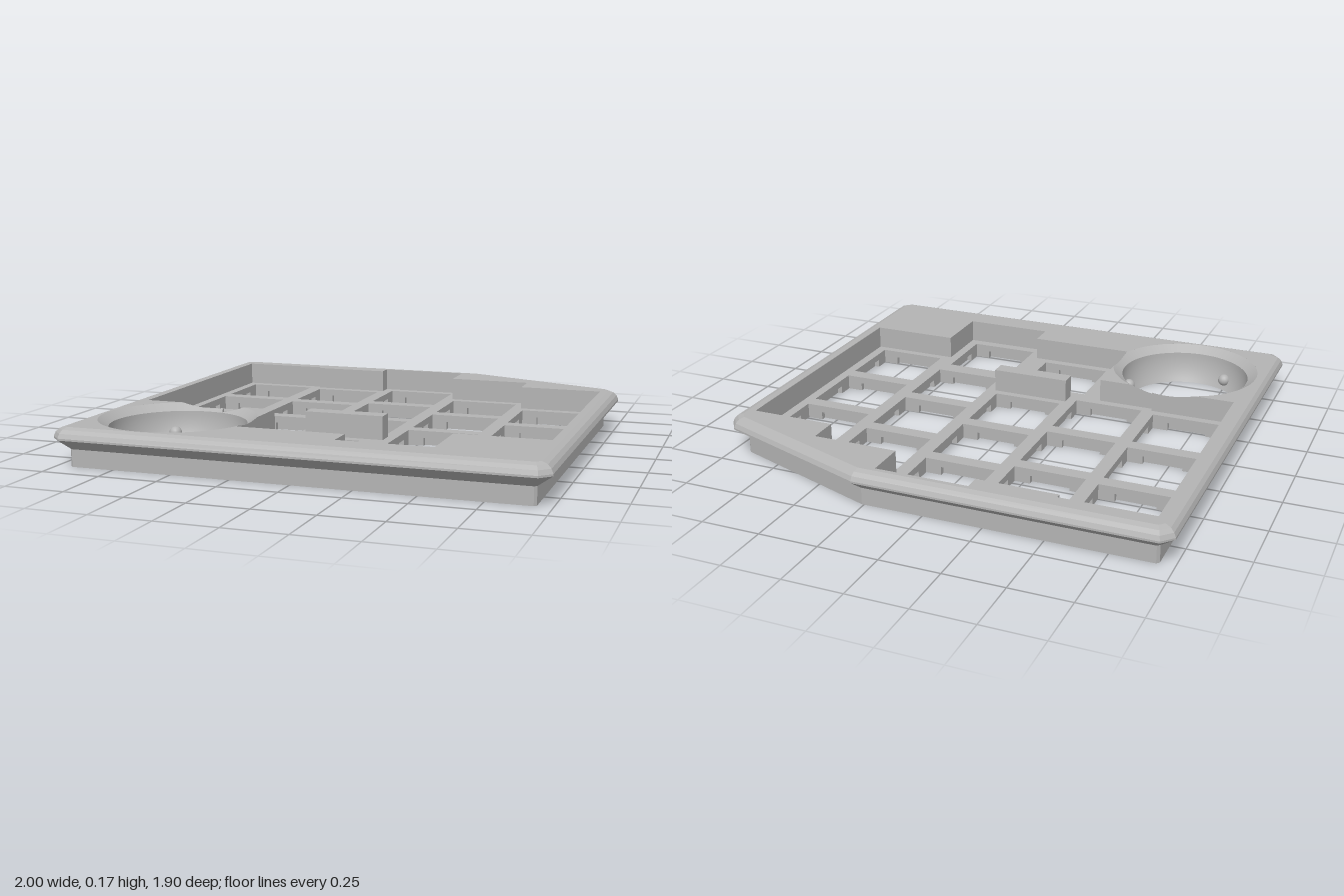
import * as THREE from 'three';

const grey = new THREE.MeshStandardMaterial({ color: 0xb4b4b4, side: THREE.DoubleSide });
grey.name = 'grey plastic';

const FLOOR = 0.065, TOP = 0.165, NOTCH = 0.035;
const BALL = { x: -0.62, z: 0.572, r: 0.283, y: 0.135, dish: 0.325 };

// Outlines as [x, z]
const outer = [[-1, -0.905], [-0.955, -0.952], [0.27, -0.952], [0.96, -0.7], [1, -0.645],
  [1, 0.905], [0.955, 0.95], [-0.955, 0.95], [-1, 0.905]];
const well = [[-0.918, -0.845], [-0.533, -0.845], [-0.533, -0.823], [-0.195, -0.823], [-0.195, -0.888],
  [0.196, -0.888], [0.196, -0.717], [0.56, -0.717], [0.56, -0.588], [0.924, -0.588], [0.924, 0.53],
  [0.538, 0.53], [0.538, 0.792], [0.147, 0.792], [0.147, 0.68], [-0.308, 0.68], [-0.308, 0.295],
  [-0.555, 0.295], [-0.555, 0.273], [-0.918, 0.273]];

// Key hole centres
const keys = [[-0.067, 0.49], [0.345, 0.595]];
[[-0.727, -0.65], [-0.363, -0.628], [0, -0.693], [0.365, -0.523], [0.73, -0.39]].forEach(([x, z]) => {
  for (let row = 0; row < 3; row++) keys.push([x, z + row * 0.367]);
});

// Moves a convex outline inward by k
function inset(points, k) {
  const n = points.length;
  const normal = (a, b) => {
    const dx = b[0] - a[0], dz = b[1] - a[1], l = Math.hypot(dx, dz);
    return [-dz / l, dx / l];
  };
  return points.map((p, i) => {
    const a = normal(points[(i + n - 1) % n], p), b = normal(p, points[(i + 1) % n]);
    const s = k / (1 + a[0] * b[0] + a[1] * b[1]);
    return [p[0] + (a[0] + b[0]) * s, p[1] + (a[1] + b[1]) * s];
  });
}

// Skin between closed rings of [x, y, z]
function loft(rings) {
  const pos = [];
  for (let r = 0; r + 1 < rings.length; r++) {
    const a = rings[r], b = rings[r + 1];
    for (let i = 0; i < a.length; i++) {
      const j = (i + 1) % a.length;
      pos.push(...a[i], ...b[i], ...a[j], ...a[j], ...b[i], ...b[j]);
    }
  }
  const g = new THREE.BufferGeometry();
  g.setAttribute('position', new THREE.Float32BufferAttribute(pos, 3));
  g.computeVertexNormals();
  return g;
}

const vectors = (pts) => pts.map(([x, z]) => new THREE.Vector2(x, z));

// Horizontal plate with holes between two heights
function plate(outline, holes, y0, y1) {
  const shape = new THREE.Shape(vectors(outline));
  shape.holes = holes.map((h) => new THREE.Path(vectors(h)));
  const g = new THREE.ExtrudeGeometry(shape, { depth: y1 - y0, bevelEnabled: false });
  return g.rotateX(Math.PI / 2).translate(0, y1, 0);
}

function arc(r, from, to, n) {
  return Array.from({ length: n + 1 }, (_, i) => {
    const t = from + (to - from) * i / n;
    return [BALL.x + r * Math.cos(t), BALL.z + r * Math.sin(t)];
  });
}

const H = 0.1525;
const squareHole = ([x, z]) => [[x - H, z - H], [x + H, z - H], [x + H, z + H], [x - H, z + H]];

// Square hole with a clip notch on each side
function notchedHole([x, z]) {
  const w = 0.085, d = H + 0.022, pts = [];
  for (let q = 0; q < 4; q++) {
    const c = Math.round(Math.cos(q * Math.PI / 2)), s = Math.round(Math.sin(q * Math.PI / 2));
    [[-H, -H], [-w, -H], [-w, -d], [w, -d], [w, -H]].forEach(([u, v]) =>
      pts.push([x + u * c - v * s, z + u * s + v * c]));
  }
  return pts;
}

// Height of the frame top, lowered inside the dish around the ball socket
function frameY(x, z) {
  const r = Math.hypot(x - BALL.x, z - BALL.z);
  if (r >= BALL.dish) return TOP;
  return BALL.y + (TOP - BALL.y) * Math.max(0, r - BALL.r) / (BALL.dish - BALL.r);
}

export function createModel() {
  const group = new THREE.Group();
  const add = (name, geometry) => {
    const m = new THREE.Mesh(geometry, grey);
    m.name = name;
    group.add(m);
    return m;
  };

  // Base plate in two layers, the lower one notched
  const base = inset(outer, 0.06);
  const socketHole = arc(BALL.r, 0, Math.PI * 2, 64).slice(0, -1);
  add('lowerPlate', plate(base, [...keys.map(notchedHole), socketHole], 0, NOTCH));
  add('upperPlate', plate(base, [...keys.map(squareHole), socketHole], NOTCH, FLOOR));

  // Flared outer rim with a rounded top edge
  const profile = [[0.06, FLOOR], [0.06, 0.072], [0, 0.117], [0, 0.125], [0.008, 0.143], [0.022, 0.157], [0.045, TOP]];
  add('outerRim', loft(profile.map(([k, y]) => inset(outer, k).map(([x, z]) => [x, y, z]))));

  // Frame top: the opening joins the key well and the dish
  const { dish } = BALL;
  const right = Math.acos((-0.308 - BALL.x) / dish);
  const back = Math.asin((0.295 - BALL.z) / dish);
  const backLeft = Math.PI - Math.asin((0.273 - BALL.z) / dish);
  const opening = [...well.slice(0, 16), ...arc(dish, right, backLeft, 64), well[19]];
  add('frameTop', plate(inset(outer, 0.045), [opening], TOP - 0.004, TOP));
  add('frameCorner', plate([...arc(dish, back, -right, 10), [-0.308, 0.295]], [], TOP - 0.004, TOP));

  // Walls of the key well
  const loop = [];
  well.forEach((p, i) => {
    const q = well[(i + 1) % well.length];
    for (let k = 0; k < 32; k++) loop.push([p[0] + (q[0] - p[0]) * k / 32, p[1] + (q[1] - p[1]) * k / 32]);
  });
  add('wellWall', loft([loop.map(([x, z]) => [x, frameY(x, z), z]), loop.map(([x, z]) => [x, FLOOR, z])]));

  // Shallow dish round the socket, cut off at the key well
  const inner = [], rim = [];
  for (let i = 0; i < 128; i++) {
    const t = i / 128 * Math.PI * 2, c = Math.cos(t), s = Math.sin(t);
    let r = dish;
    if (c > 0) r = Math.min(r, 0.312 / c);
    if (s < 0) r = Math.min(r, (c / -s * 0.277 > 0.065 ? 0.277 : 0.299) / -s);
    const x = BALL.x + r * c, z = BALL.z + r * s;
    rim.push([x, frameY(x, z), z]);
    inner.push([BALL.x + BALL.r * c, BALL.y, BALL.z + BALL.r * s]);
  }
  add('socketDish', loft([rim, inner]));

  // Spherical socket, its lower lip and three bearing balls
  const bowl = [];
  for (let i = 0; i <= 8; i++) {
    const y = BALL.y * (1 - i / 8);
    bowl.push(new THREE.Vector2(Math.sqrt(BALL.r ** 2 - (BALL.y - y) ** 2), y));
  }
  add('ballSocket', new THREE.LatheGeometry(bowl, 64)).position.set(BALL.x, 0, BALL.z);
  add('socketLip', new THREE.RingGeometry(bowl[8].x, BALL.r, 64).rotateX(Math.PI / 2)).position.set(BALL.x, 0, BALL.z);
  for (let i = 0; i < 3; i++) {
    const t = i * Math.PI * 2 / 3;
    add('bearing', new THREE.SphereGeometry(0.027, 16, 12))
      .position.set(BALL.x + 0.263 * Math.cos(t), 0.045, BALL.z + 0.263 * Math.sin(t));
  }

  // Divider bar above the thumb keys
  add('dividerBar', new THREE.BoxGeometry(0.342, TOP - FLOOR, 0.068)).position.set(0.002, (TOP + FLOOR) / 2, 0.26);
  return group;
}
